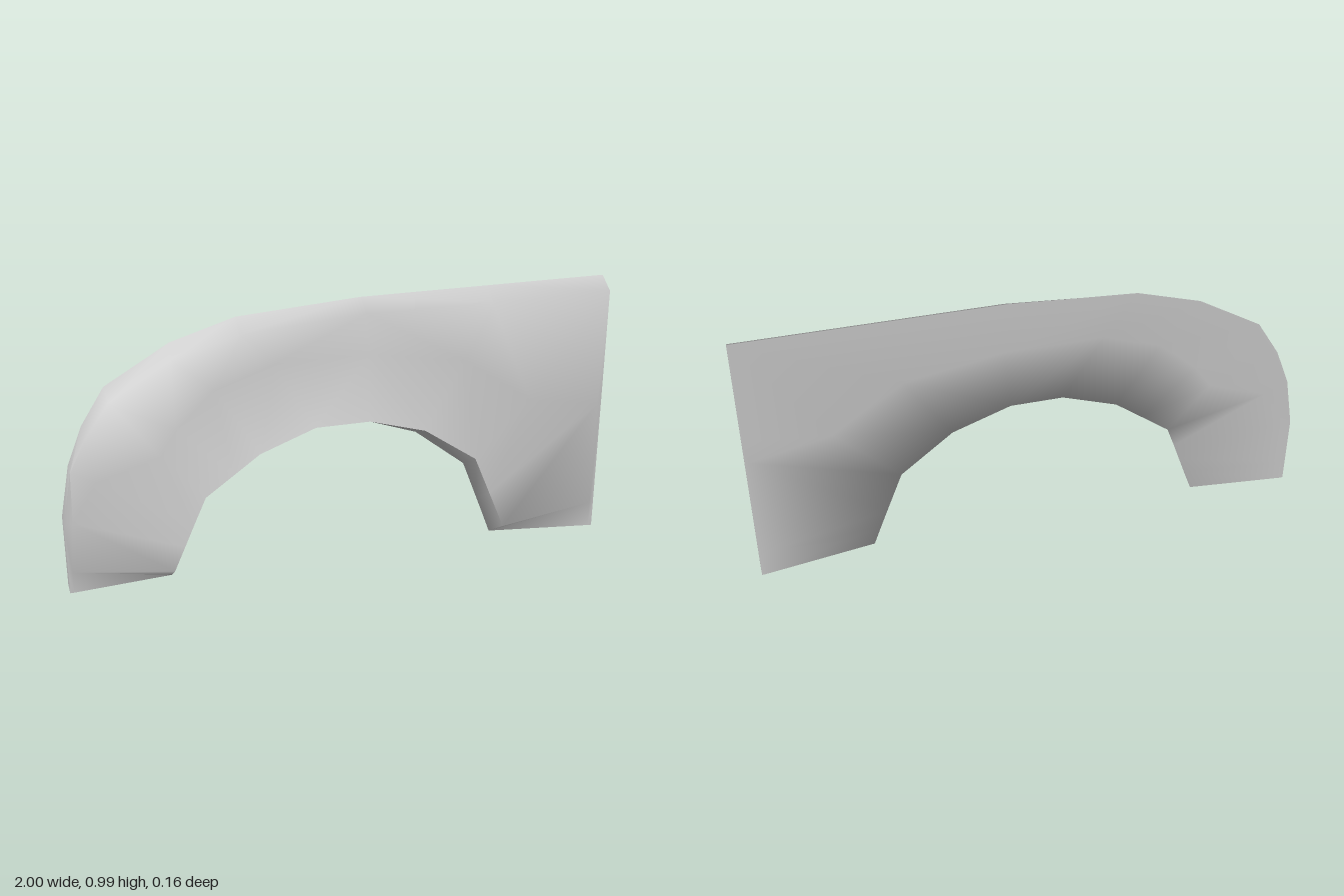
import * as THREE from 'three';
import { toCreasedNormals } from 'three/addons/utils/BufferGeometryUtils.js';

// Depths of the flared arch lip and of the flat outer border
const LIP_FRONT = 0.08, LIP_BACK = -0.04, EDGE_FRONT = -0.01, EDGE_BACK = -0.077;

// Stations around the arch, from the rounded leg to the square end.
// Each: front lip, flare end, front border, back border, back lip (x, y, optional front depth)
const stations = [
  [[-0.635, 0.02, LIP_BACK], [-0.985, 0.02], [-1, 0.02], [-1, 0.02], [-0.635, 0.02]],
  [[-0.64, 0.1], [-0.985, 0.1], [-1, 0.1], [-1, 0.1], [-0.605, 0.1]],
  [[-0.6, 0.19], [-0.97, 0.29], [-1, 0.29], [-1, 0.29], [-0.58, 0.17]],
  [[-0.565, 0.27], [-0.88, 0.44, 0.005], [-0.965, 0.48], [-0.965, 0.48], [-0.555, 0.24]],
  [[-0.52, 0.37], [-0.66, 0.52, 0.028], [-0.905, 0.6], [-0.91, 0.62], [-0.525, 0.32]],
  [[-0.422, 0.44], [-0.6, 0.61, 0.018], [-0.82, 0.72], [-0.825, 0.755], [-0.422, 0.398]],
  [[-0.325, 0.51], [-0.46, 0.73, 0], [-0.6, 0.85], [-0.595, 0.89], [-0.32, 0.475]],
  [[-0.125, 0.585], [-0.25, 0.8], [-0.365, 0.915], [-0.365, 0.96], [-0.12, 0.545]],
  [[0.07, 0.585], [0.1, 0.8], [0.08, 0.95], [0.08, 0.99], [0.07, 0.545]],
  [[0.275, 0.525], [0.45, 0.74, -0.005], [0.55, 0.95], [0.55, 0.99], [0.28, 0.47]],
  [[0.47, 0.39], [0.7, 0.57, 0.015], [1, 0.95], [1, 0.99], [0.47, 0.32]],
  [[0.53, 0.245], [0.985, 0.51], [1, 0.6], [1, 0.6], [0.53, 0.165]],
  [[0.59, 0.1], [0.985, 0.1], [1, 0.1], [1, 0.1], [0.555, 0.1]],
  [[0.585, 0.02, LIP_BACK], [0.985, 0.001], [1, 0], [1, 0], [0.585, 0.02]],
];

// Closed cross-section loop at one station
function section([lip, flare, front, back, backLip]) {
  const at = ([x, y], z) => new THREE.Vector3(x, y, z);
  return [
    at(lip, lip[2] ?? LIP_FRONT), at(flare, flare[2] ?? EDGE_FRONT), at(front, EDGE_FRONT),
    at(back, EDGE_BACK), at(flare, EDGE_BACK), at(backLip, LIP_BACK),
  ];
}

// Skin part of the loops; capped parts also get the feet closed
function loft(loops, order, crease, capped) {
  const pos = [];
  const tri = (a, b, c) => {
    const area = b.clone().sub(a).cross(c.clone().sub(a)).length();
    if (area > 1e-7) for (const p of [a, b, c]) pos.push(p.x, p.y, p.z);
  };
  for (let i = 0; i < loops.length - 1; i++) {
    for (let k = 0; k < order.length - 1; k++) {
      const [p, q] = [order[k], order[k + 1]];
      const a = loops[i][p], b = loops[i + 1][p], c = loops[i + 1][q], d = loops[i][q];
      // Diagonals mirror about the middle of the arch
      if (a.x < 0) {
        tri(a, b, c);
        tri(a, c, d);
      } else {
        tri(a, b, d);
        tri(b, c, d);
      }
    }
  }
  if (capped) {
    const first = loops[0], last = loops[loops.length - 1];
    for (let k = 1; k < first.length - 1; k++) {
      tri(first[0], first[k], first[k + 1]);
      tri(last[0], last[k + 1], last[k]);
    }
  }
  const geometry = new THREE.BufferGeometry();
  geometry.setAttribute('position', new THREE.Float32BufferAttribute(pos, 3));
  return toCreasedNormals(geometry, crease);
}

export function createModel() {
  const group = new THREE.Group();
  group.name = 'fender';
  const material = new THREE.MeshStandardMaterial({ color: 0xcccccc });
  const loops = stations.map(section);
  const add = (name, geometry) => {
    const mesh = new THREE.Mesh(geometry, material);
    mesh.name = name;
    group.add(mesh);
  };
  // Flared front skin with its border and feet
  add('outerPanel', loft(loops, [0, 1, 2, 3], 1.25, true));
  // Back skin rolling smoothly into the underside of the arch
  add('innerPanel', loft(loops, [3, 4, 5, 0], Math.PI, false));
  return group;
}
